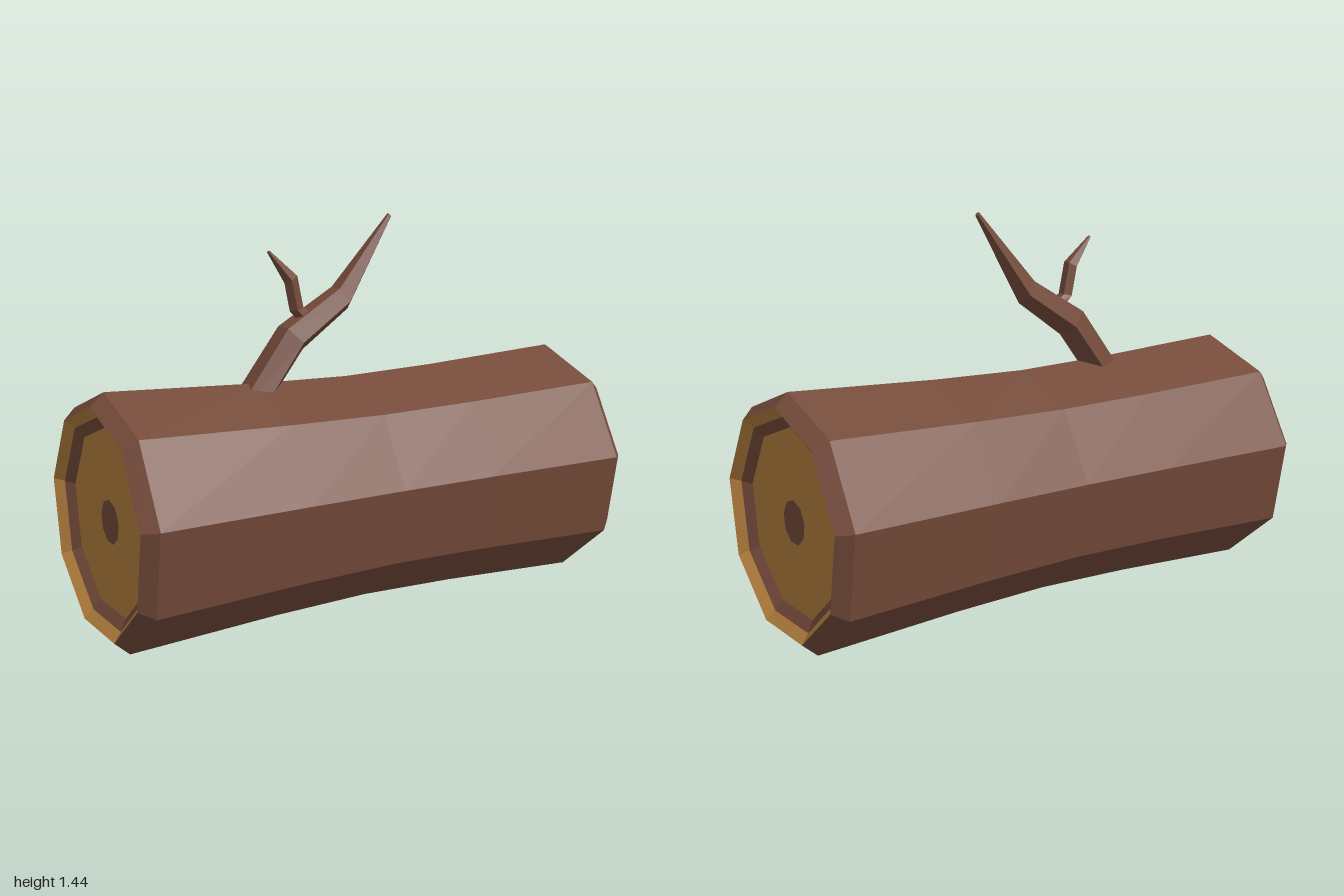
import * as THREE from 'three';

const SIDES = 9;
const CENTRE_Y = 0.429;
const material = (color) => new THREE.MeshStandardMaterial({ color, flatShading: true });
const bark = material(0x764c3b);
const wood = material(0xb5803e);

// Nine-sided turned part lying along x, one corner straight up; points are [radius, x]
function turned(name, points, mat) {
  const profile = points.map(([r, x]) => new THREE.Vector2(r, x));
  const geometry = new THREE.LatheGeometry(profile, SIDES, -Math.PI / 2);
  geometry.rotateZ(-Math.PI / 2);
  const mesh = new THREE.Mesh(geometry, mat);
  mesh.name = name;
  return mesh;
}

// Five-sided limb; each ring gives its flat side and its ridge as [flatX, flatY, ridgeX, ridgeY]
function limb(name, rings) {
  const n = 5, positions = [], index = [];
  const [fx, fy, rx, ry] = rings[0];
  const cross = (ry - fy) * (rings[1][0] - fx) - (rx - fx) * (rings[1][1] - fy);
  const turn = Math.sign(cross);
  for (const [ax, ay, bx, by] of rings) {
    const radius = Math.hypot(bx - ax, by - ay) / 1.809;
    for (let k = 0; k < n; k++) {
      const t = (k / n) * Math.PI * 2;
      const f = (Math.cos(t) + 0.809) / 1.809;
      positions.push(ax + (bx - ax) * f, ay + (by - ay) * f, turn * radius * Math.sin(t));
    }
  }
  for (let i = 0; i < rings.length - 1; i++) {
    for (let k = 0; k < n; k++) {
      const a = i * n + k, b = i * n + (k + 1) % n;
      index.push(a, b, b + n, a, b + n, a + n);
    }
  }
  // Tip and hidden foot
  const last = (rings.length - 1) * n;
  for (let k = 1; k < n - 1; k++) {
    index.push(last, last + k, last + k + 1, 0, k + 1, k);
  }
  const geometry = new THREE.BufferGeometry();
  geometry.setAttribute('position', new THREE.Float32BufferAttribute(positions, 3));
  geometry.setIndex(index);
  geometry.computeVertexNormals();
  const mesh = new THREE.Mesh(geometry, bark);
  mesh.name = name;
  return mesh;
}

export function createModel() {
  const model = new THREE.Group();
  model.name = 'log';

  // Trunk, slightly waisted, with bevelled rims
  const trunk = turned('trunk', [
    [0.41, -1], [0.456, -0.95], [0.428, -0.38], [0.418, 0],
    [0.428, 0.38], [0.456, 0.95], [0.41, 1],
  ], bark);
  trunk.position.y = CENTRE_Y;
  model.add(trunk);

  // Recessed cut faces with a dark growth ring and pith
  for (const side of ['left', 'right']) {
    const end = new THREE.Group();
    end.name = side + 'CutEnd';
    end.add(
      turned('outerWood', [[0.41, 1], [0.375, 0.97]], wood),
      turned('growthRing', [[0.375, 0.97], [0.335, 0.945]], bark),
      turned('innerWood', [[0.335, 0.945], [0.08, 0.945]], wood),
      turned('pith', [[0.08, 0.945], [0, 0.945]], bark),
    );
    end.position.y = CENTRE_Y;
    if (side === 'right') end.rotation.y = Math.PI;
    model.add(end);
  }

  // Bent branch and its twig
  model.add(limb('branch', [
    [-0.47, 0.77, -0.34, 0.755],
    [-0.26, 1.05, -0.18, 0.965],
    [-0.04, 1.18, 0.01, 1.1],
    [0.185, 1.44, 0.197, 1.427],
  ]));
  model.add(limb('twig', [
    [-0.13, 1.08, -0.17, 1.04],
    [-0.185, 1.118, -0.233, 1.107],
    [-0.21, 1.235, -0.254, 1.21],
    [-0.313, 1.328, -0.322, 1.322],
  ]));
  return model;
}
